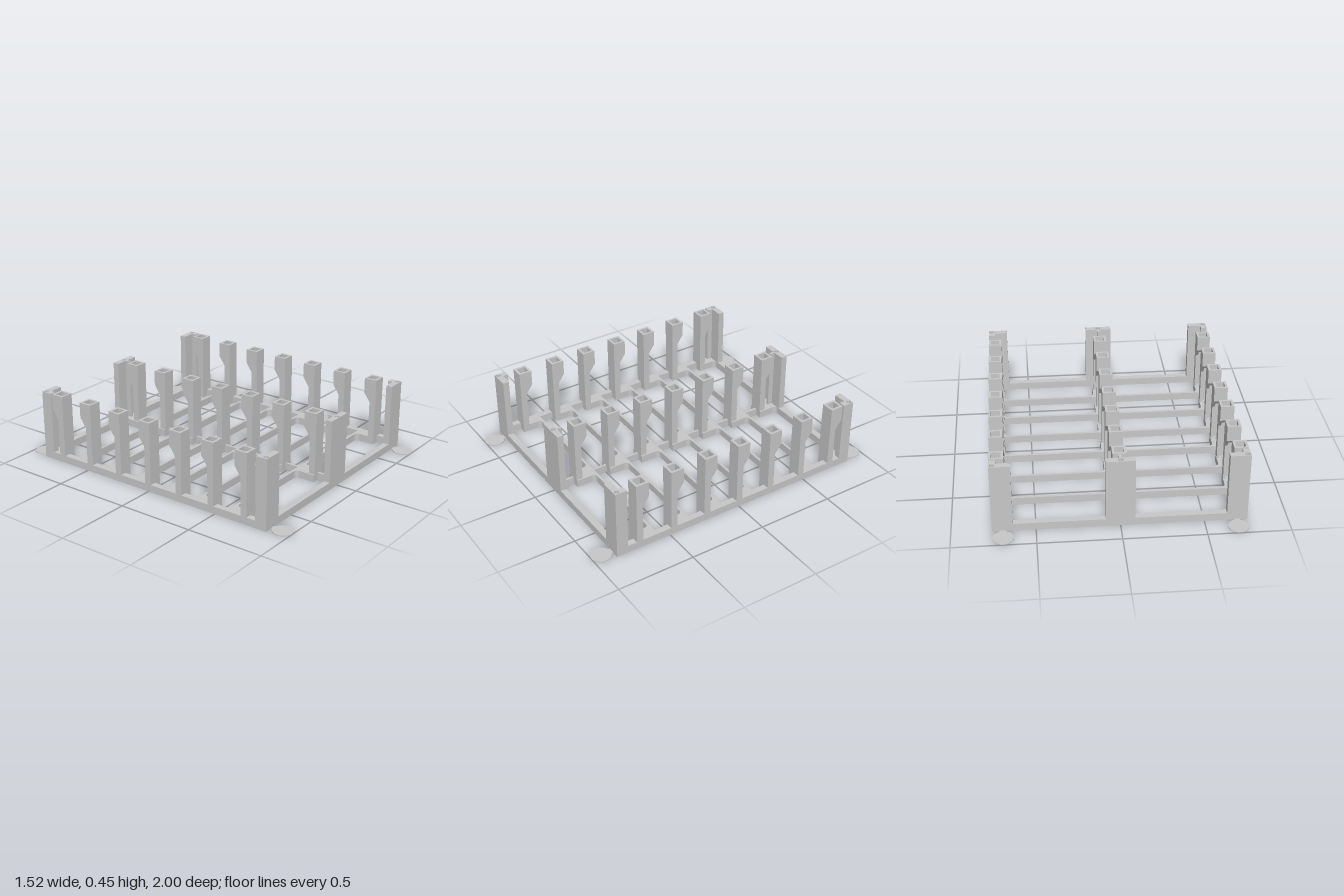
import * as THREE from 'three';

const W = 0.759, D = 0.865;          // half size of the frame
const BASE = 0.048, TOP = 0.449;     // heights of the frame and the posts
const RAIL = 0.041;                  // width of the outer rails
const ROWS = 7, PITCH = 0.237, FIRST = -0.736;
const rowZ = (i) => FIRST + PITCH * i;
const barZ = (i) => rowZ(i) - 0.095;

const grey = new THREE.MeshStandardMaterial({ color: 0xc8c8c8 });
grey.name = 'grey plastic';

function add(parent, geometry, name, x = 0, y = 0, z = 0) {
  const mesh = new THREE.Mesh(geometry, grey);
  mesh.name = name;
  mesh.position.set(x, y, z);
  parent.add(mesh);
  return mesh;
}

// Closed counter-clockwise outline from plan points [x, z]
function plan(pts) {
  const v = pts.map(([x, z]) => new THREE.Vector2(x, -z));
  return new THREE.Shape(THREE.ShapeUtils.isClockWise(v) ? v.reverse() : v);
}

function circleHole(x, z, r) {
  const p = new THREE.Path();
  p.absarc(x, -z, r, 0, Math.PI * 2, true);
  return p;
}

// Raise a plan outline by h
function raise(shape, h) {
  const g = new THREE.ExtrudeGeometry(shape, { depth: h, bevelEnabled: false, curveSegments: 10 });
  return g.rotateX(-Math.PI / 2);
}

// Window of the frame: rounded between the pads, wider behind them
function windowHole(i, s) {
  const z0 = i === 0 ? -D + RAIL : barZ(i) + 0.008;
  const z1 = i === ROWS - 1 ? D - RAIL : barZ(i + 1) - 0.008;
  const padEnd = rowZ(i) + 0.042, r = 0.03;
  const a = 0.052, b = 0.672, inner = 0.008, outer = W - RAIL;
  const p = new THREE.Path();
  p.moveTo(s * (a + r), -z0);
  p.lineTo(s * (b - r), -z0);
  p.quadraticCurveTo(s * b, -z0, s * b, -(z0 + r));
  p.lineTo(s * b, -padEnd);
  p.lineTo(s * outer, -padEnd);
  p.lineTo(s * outer, -z1);
  p.lineTo(s * inner, -z1);
  p.lineTo(s * inner, -padEnd);
  p.lineTo(s * a, -padEnd);
  p.lineTo(s * a, -(z0 + r));
  p.quadraticCurveTo(s * a, -z0, s * (a + r), -z0);
  return p;
}

// Post with a shallow round socket in its top
function addPost(parent, pts, hx, hz, name) {
  const socket = 0.06;
  const post = new THREE.Group();
  post.name = name;
  add(post, raise(plan(pts), TOP - socket - BASE), 'postBody', 0, BASE);
  const upper = plan(pts);
  upper.holes.push(circleHole(hx, hz, 0.015));
  add(post, raise(upper, socket), 'postTop', 0, TOP - socket);
  parent.add(post);
}

// Extrude a side profile [z, y] across the width w, centred on x = 0
function sideProfile(pts, w) {
  const shape = new THREE.Shape(pts.map(([z, y]) => new THREE.Vector2(-z, y)));
  const g = new THREE.ExtrudeGeometry(shape, { depth: w, bevelEnabled: false });
  return g.translate(0, 0, -w / 2).rotateY(Math.PI / 2);
}

const H = 0.043, WALL = 0.015;       // half size and wall of a holder
const cheekGeo = sideProfile([
  [H, BASE], [0, BASE], [0, 0.29], [-H, 0.35], [-H, TOP], [H, TOP],
], WALL);
const lipGeo = sideProfile([
  [-H + WALL, 0.329], [-H, 0.35], [-H, TOP], [-H + WALL, TOP],
], 2 * (H - WALL));
const faceGeo = new THREE.BoxGeometry(2 * (H - WALL), TOP - BASE, WALL);

// Upright channel, open at the back, with a square socket head
function makeHolder() {
  const holder = new THREE.Group();
  holder.name = 'holder';
  for (const s of [-1, 1]) add(holder, cheekGeo, 'holderCheek', s * (H - WALL / 2));
  add(holder, faceGeo, 'holderFront', 0, (TOP + BASE) / 2, H - WALL / 2);
  add(holder, lipGeo, 'holderHeadBack');
  return holder;
}

export function createModel() {
  const model = new THREE.Group();
  model.name = 'rack';
  const columns = [-W + H, 0, W - H];

  // Base frame with windows and a drain hole under every holder
  const frame = plan([[-W, -D], [W, -D], [W, D], [-W, D]]);
  for (let i = 0; i < ROWS; i++) {
    for (const s of [-1, 1]) frame.holes.push(windowHole(i, s));
    for (const x of columns) frame.holes.push(circleHole(x, rowZ(i), 0.0145));
  }
  add(model, raise(frame, BASE), 'baseFrame');

  // Holders in three columns
  for (let i = 0; i < ROWS; i++) {
    for (const x of columns) {
      const holder = makeHolder();
      holder.position.set(x, 0, rowZ(i));
      model.add(holder);
    }
  }

  for (const sz of [-1, 1]) {
    const inZ = sz * (D - RAIL), outZ = sz * D, legZ = sz * 0.79;

    // Middle post with a thin rib
    addPost(model, [
      [-0.087, outZ], [0.087, outZ], [0.087, inZ], [0.008, inZ],
      [0.008, legZ], [-0.008, legZ], [-0.008, inZ], [-0.087, inZ],
    ], 0, sz * (D - RAIL / 2), 'middlePost');

    for (const sx of [-1, 1]) {
      // L-shaped corner post
      addPost(model, [
        [sx * W, outZ], [sx * 0.635, outZ], [sx * 0.635, inZ],
        [sx * (W - RAIL), inZ], [sx * (W - RAIL), legZ], [sx * W, legZ],
      ], sx * (W - RAIL / 2), sz * (D - RAIL / 2), 'cornerPost');

      // Thin round foot pad and its tab
      add(model, new THREE.CylinderGeometry(0.063, 0.063, 0.005, 40), 'footPad',
        sx * 0.694, 0.0025, sz * 0.937);
      add(model, new THREE.BoxGeometry(0.04, 0.004, 0.03), 'footTab',
        sx * 0.694, 0.0022, sz * 0.875);
    }
  }
  return model;
}
